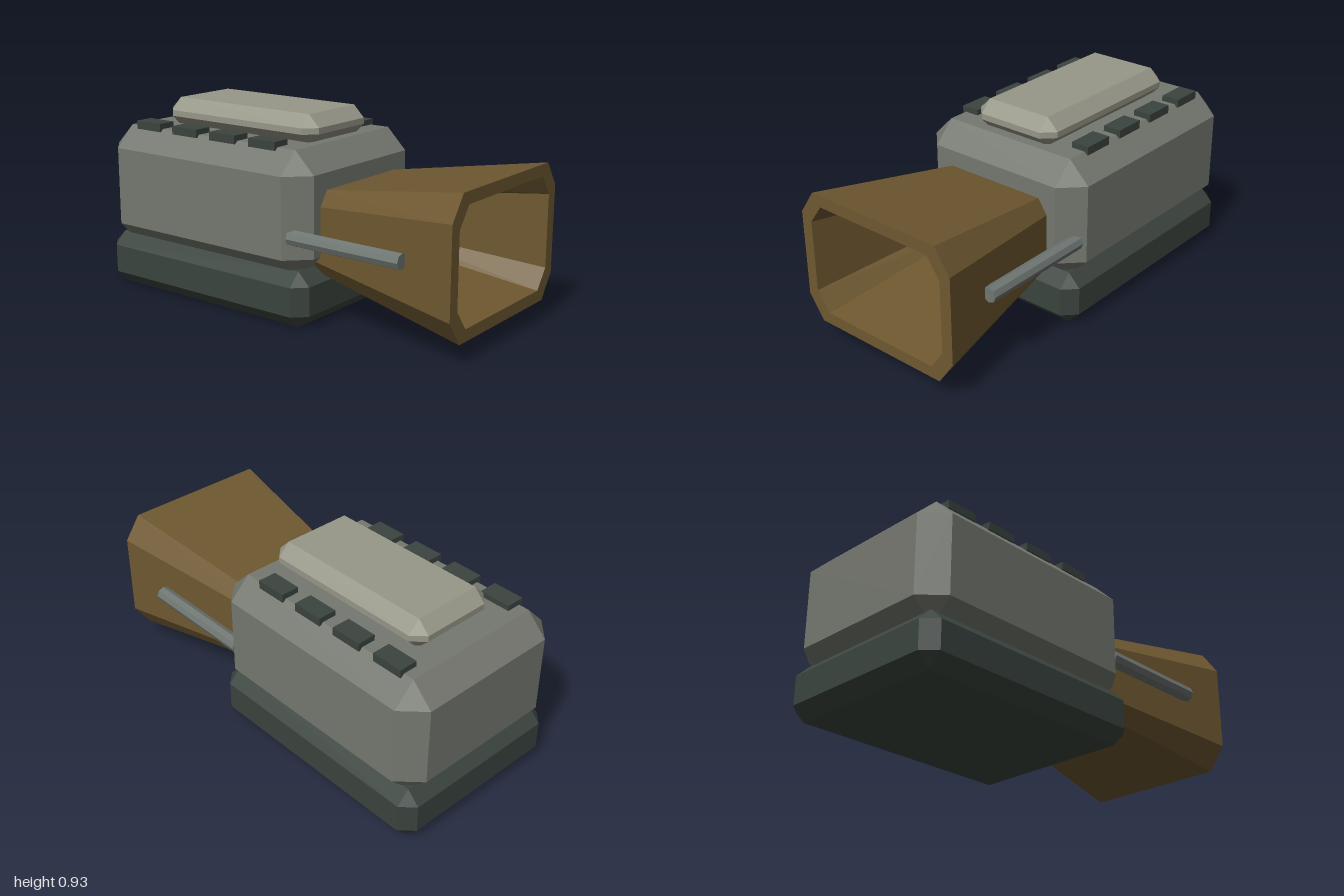
import * as THREE from 'three';
import { ConvexGeometry } from 'three/addons/geometries/ConvexGeometry.js';

const paint = (color) => new THREE.MeshStandardMaterial({ color, flatShading: true });

// Box with every edge and corner cut off by c
function chamferBox(w, h, d, c) {
  const pts = [];
  for (const x of [-1, 1]) for (const y of [-1, 1]) for (const z of [-1, 1]) {
    for (const [a, b, e] of [[0, c, c], [c, 0, c], [c, c, 0]]) {
      pts.push(new THREE.Vector3(x * (w / 2 - a), y * (h / 2 - b), z * (d / 2 - e)));
    }
  }
  return new ConvexGeometry(pts);
}

// Eight-cornered ring: half sizes w, h and the corner cuts' starts cw, ch
function octagon([w, h, cw, ch], y, z) {
  return [[w, -ch], [w, ch], [cw, h], [-cw, h], [-w, ch], [-w, -ch], [-cw, -h], [cw, -h]]
    .map(([px, py]) => [px, y + py, z]);
}

// Closed shell through a loop of rings
function shell(rings) {
  const pos = [];
  rings.forEach((a, r) => {
    const b = rings[(r + 1) % rings.length];
    a.forEach((p, i) => {
      const j = (i + 1) % a.length;
      pos.push(...p, ...a[j], ...b[j], ...p, ...b[j], ...b[i]);
    });
  });
  const g = new THREE.BufferGeometry();
  g.setAttribute('position', new THREE.Float32BufferAttribute(pos, 3));
  g.computeVertexNormals();
  return g;
}

export function createModel() {
  const model = new THREE.Group();
  const grey = paint(0x757870), dark = paint(0x3b443f), pale = paint(0x979789);
  const brown = paint(0x6e5830), steel = paint(0x6f7672);

  const add = (name, geometry, material, x, y, z) => {
    const mesh = new THREE.Mesh(geometry, material);
    mesh.name = name;
    mesh.position.set(x, y, z);
    model.add(mesh);
    return mesh;
  };

  // Stacked hull
  add('base', chamferBox(0.92, 0.262, 1.246, 0.062), dark, 0, 0.131, -0.377);
  add('body', chamferBox(0.92, 0.587, 1.24, 0.103), grey, 0, 0.509, -0.38);
  add('roofCap', chamferBox(0.46, 0.145, 0.925, 0.058), pale, 0, 0.8575, -0.3375);

  // Flared hollow horn, its narrow end sunk into the body
  const yc = 0.418, back = 0.17, t = (1 - back) / 0.76;
  const taper = (wide, narrow) => wide.map((v, i) => v + (narrow[i] - v) * t);
  const outer = [0.44, 0.322, 0.36, 0.207], inner = [0.383, 0.266, 0.314, 0.173];
  add('horn', shell([
    octagon(taper(outer, [0.31, 0.202, 0.262, 0.132]), yc, back),
    octagon(outer, yc, 1),
    octagon(inner, yc, 1),
    octagon(taper(inner, [0.255, 0.146, 0.21, 0.101]), yc, back),
  ]), brown, 0, 0, 0);

  for (const s of [-1, 1]) {
    // Bars at the throat of the horn
    add('throatBar', new THREE.BoxGeometry(0.036, 0.23, 0.02), grey, s * 0.097, 0.418, 0.24);

    // Side rods
    const rod = new THREE.CylinderGeometry(0.037, 0.037, 0.595, 8).rotateX(Math.PI / 2);
    add('sideRod', rod, steel, s * 0.417, 0.42, 0.4525);

    // Row of roof blocks
    for (let i = 0; i < 4; i++) {
      add('roofBlock', new THREE.BoxGeometry(0.092, 0.04, 0.157), dark, s * 0.331, 0.809, -0.765 + i * 0.24);
    }
  }
  return model;
}
